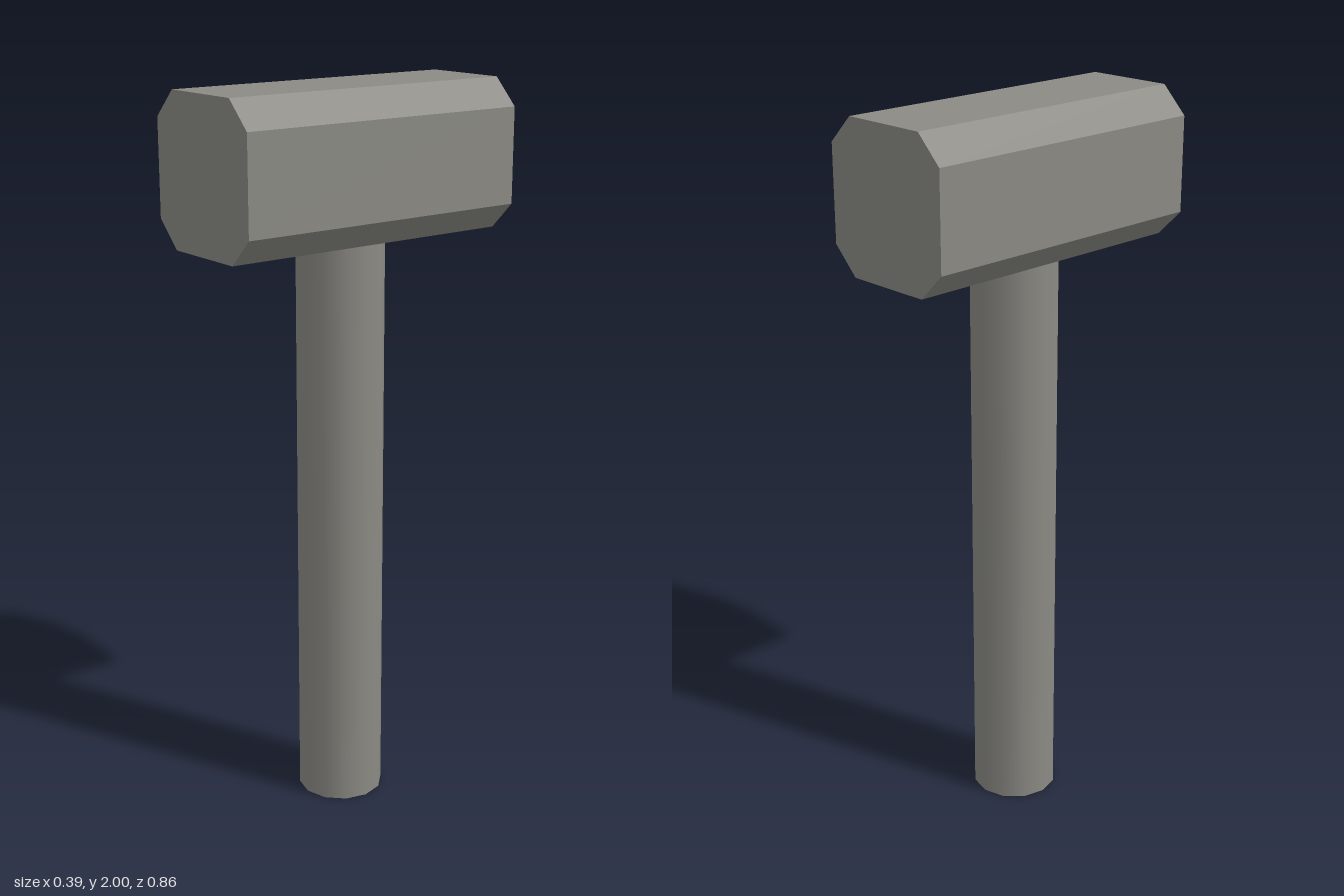
import * as THREE from 'three';

export function createModel() {
  const group = new THREE.Group();
  const stone = new THREE.MeshStandardMaterial({ color: 0x8b8a84 });
  const add = (name, geometry, material) => {
    const mesh = new THREE.Mesh(geometry, material);
    mesh.name = name;
    group.add(mesh);
    return mesh;
  };

  const headBottom = 1.6, headTop = 2;

  // Handle: smooth 12-sided shaft with flat ends, running up to the head
  const handle = add('handle', new THREE.CylinderGeometry(0.119, 0.119, headBottom, 12), stone);
  handle.position.y = headBottom / 2;

  // Head: block with chamfered long edges, extruded along z
  const halfWidth = 0.196, halfHeight = (headTop - headBottom) / 2, chamfer = 0.072, length = 0.855;
  const w = halfWidth - chamfer, h = halfHeight - chamfer;
  const profile = new THREE.Shape([
    [w, -halfHeight], [halfWidth, -h], [halfWidth, h], [w, halfHeight],
    [-w, halfHeight], [-halfWidth, h], [-halfWidth, -h], [-w, -halfHeight],
  ].map(([x, y]) => new THREE.Vector2(x, y)));
  const headGeometry = new THREE.ExtrudeGeometry(profile, { depth: length, bevelEnabled: false });
  headGeometry.translate(0, 0, -length / 2);
  const flatStone = stone.clone();
  flatStone.flatShading = true;
  const head = add('head', headGeometry, flatStone);
  head.position.y = (headBottom + headTop) / 2;

  return group;
}
